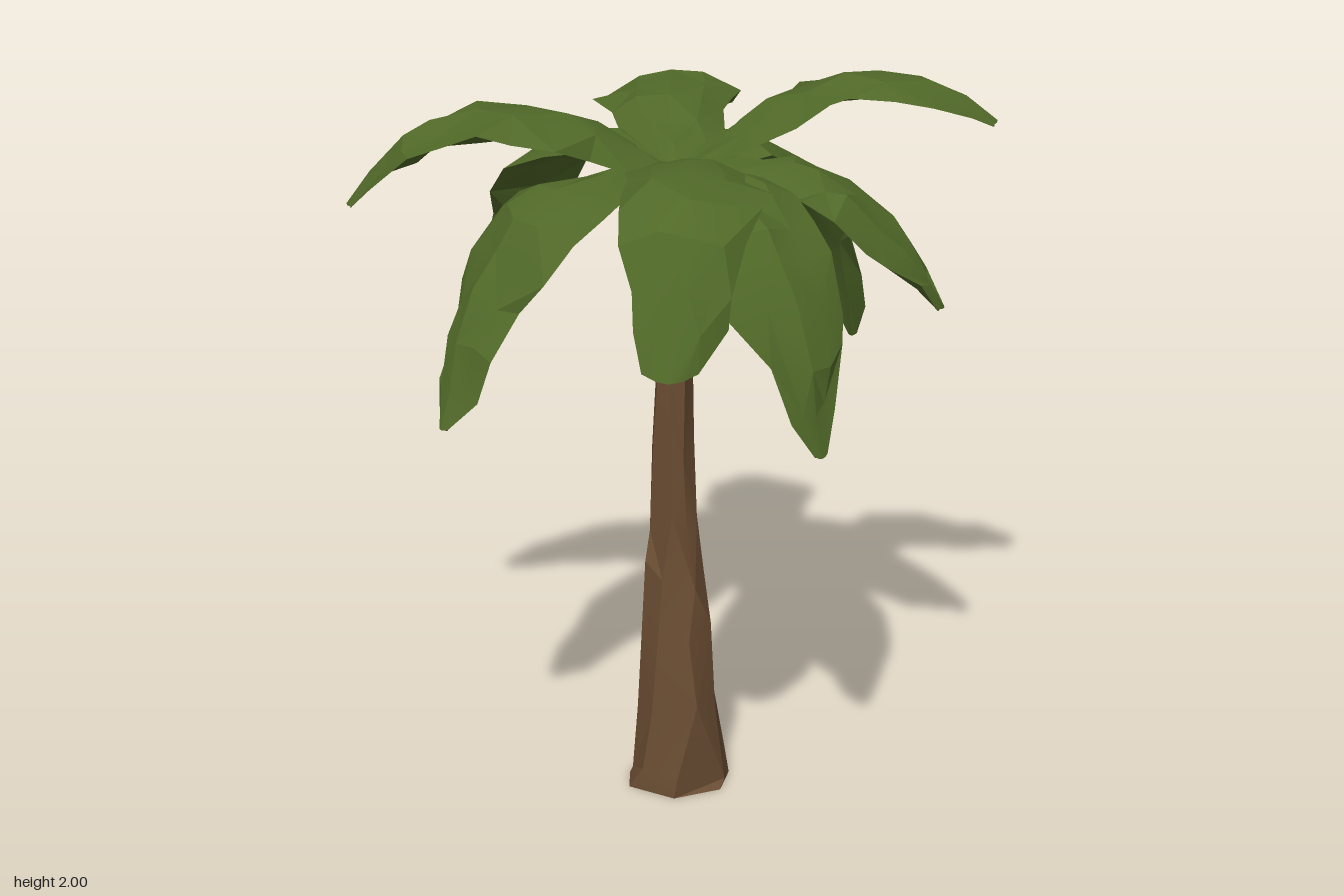
import * as THREE from 'three';
import { toCreasedNormals } from 'three/addons/utils/BufferGeometryUtils.js';

// Small seeded jitter in -1..1
let seed = 7;
const jitter = () => {
  seed = (seed * 16807) % 2147483647;
  return (seed / 2147483647) * 2 - 1;
};

// Skin a list of equal-length closed rings and cap both ends
function loft(rings) {
  const n = rings[0].length;
  const pos = [];
  const tri = (a, b, c) => pos.push(...a.toArray(), ...b.toArray(), ...c.toArray());
  const middle = (ring) => ring.reduce((s, p) => s.add(p), new THREE.Vector3()).divideScalar(n);
  for (let r = 0; r < rings.length - 1; r++) {
    for (let i = 0; i < n; i++) {
      const j = (i + 1) % n;
      const [a, b, c, d] = [rings[r][i], rings[r][j], rings[r + 1][j], rings[r + 1][i]];
      if ((r + i) % 2) { tri(a, b, c); tri(a, c, d); } else { tri(a, b, d); tri(b, c, d); }
    }
  }
  const first = rings[0], last = rings[rings.length - 1];
  for (let i = 0; i < n; i++) {
    const j = (i + 1) % n;
    tri(middle(first), first[j], first[i]);
    tri(middle(last), last[i], last[j]);
  }
  const geo = new THREE.BufferGeometry();
  geo.setAttribute('position', new THREE.Float32BufferAttribute(pos, 3));
  return toCreasedNormals(geo, 0.32);
}

// Trunk: uneven seven-sided rings [y, centre x, centre z, radius x, radius z]
function trunkGeometry() {
  const rows = [
    [0, 0.04, 0.008, 0.142, 0.135], [0.05, 0.036, 0.003, 0.135, 0.124],
    [0.25, 0.034, 0, 0.12, 0.108], [0.45, 0.025, 0, 0.105, 0.098],
    [0.63, 0.01, -0.008, 0.088, 0.08], [0.78, 0, -0.012, 0.073, 0.064],
    [0.98, -0.01, -0.015, 0.053, 0.058], [1.2, -0.01, -0.02, 0.044, 0.048],
    [1.4, -0.003, -0.025, 0.037, 0.04], [1.58, 0.005, -0.02, 0.034, 0.036],
    [1.72, 0.015, -0.01, 0.03, 0.03],
  ];
  const sides = 7;
  return loft(rows.map(([y, x, z, rx, rz], r) => Array.from({ length: sides }, (_, i) => {
    const a = ((i + 0.22 * jitter()) / sides) * Math.PI * 2 + 0.12 * r;
    const k = 1.02 + 0.1 * jitter();
    const lift = r === 0 ? 0 : 0.04 * jitter();
    return new THREE.Vector3(x + Math.sin(a) * rx * k, y + lift, z + Math.cos(a) * rz * k);
  })));
}

// Frond: thick leaf with a raised midrib and ragged edges, swept along a drooping path
const HALF_WIDTH = [0.04, 0.09, 0.135, 0.165, 0.175, 0.165, 0.15, 0.12, 0.08, 0.02];
const ACROSS = [-1, -0.5, 0, 0.5, 1, 0.5, 0, -0.5];
function frondGeometry(points, tip, scale) {
  const root = new THREE.Vector3(0.015, 1.75, -0.005);
  const path = new THREE.CatmullRomCurve3([root, ...points.map((p) => new THREE.Vector3(...p))]);
  const end = points[points.length - 1];
  const side = new THREE.Vector3(end[0], 0, end[2]).normalize().cross(new THREE.Vector3(0, 1, 0));
  const count = HALF_WIDTH.length;
  return loft(HALF_WIDTH.map((w, r) => {
    const t = r / (count - 1);
    const centre = path.getPointAt(t);
    const tangent = path.getTangentAt(t);
    const normal = new THREE.Vector3().crossVectors(side, tangent).normalize();
    const isTip = r === count - 1;
    const half = Math.max(w, r > 5 ? tip * (isTip ? 0.6 : 1) : 0) * scale;
    const thick = 0.015 + 0.04 * Math.sin(Math.PI * t);
    const inner = r > 0 && !isTip;
    return ACROSS.map((u, i) => {
      const ragged = Math.abs(u) === 1 ? 1 + 0.16 * jitter() : 1;
      const drop = 0.3 * half * u * u + (i > 4 ? thick * (1 - 0.4 * Math.abs(u)) : 0);
      const rough = inner ? 0.016 * jitter() : 0;
      const slide = inner ? 0.025 * jitter() : -0.4 * half * u * u * t;
      return centre.clone()
        .addScaledVector(side, u * half * ragged)
        .addScaledVector(tangent, slide)
        .addScaledVector(normal, rough - drop);
    });
  }));
}

// Path points after the crown, then tip half-width and overall width scale
const FRONDS = [
  ['frontFrond', [[-0.01, 1.78, 0.2], [-0.04, 1.71, 0.43], [-0.05, 1.5, 0.59], [-0.04, 1.19, 0.7]], 0.02, 1],
  ['backFrond', [[-0.02, 1.81, -0.2], [-0.03, 1.73, -0.41], [-0.03, 1.5, -0.58], [-0.03, 1.15, -0.68]], 0.02, 0.97],
  ['leftFrond', [[0.24, 1.81, 0.05], [0.45, 1.75, 0.08], [0.61, 1.53, 0.08], [0.69, 1.19, 0.07]], 0.02, 0.97],
  ['rightFrond', [[-0.23, 1.81, 0.05], [-0.45, 1.74, 0.06], [-0.61, 1.52, 0.06], [-0.69, 1.19, 0.06]], 0.02, 0.97],
  ['frontLeftFrond', [[0.22, 1.85, 0.13], [0.42, 1.86, 0.27], [0.57, 1.71, 0.39], [0.62, 1.46, 0.49]], 0.1, 1.03],
  ['frontRightFrond', [[-0.16, 1.88, 0.19], [-0.31, 1.91, 0.36], [-0.45, 1.82, 0.51], [-0.55, 1.65, 0.64]], 0.07, 1],
  ['backRightFrond', [[-0.2, 1.86, -0.15], [-0.37, 1.89, -0.29], [-0.53, 1.79, -0.41], [-0.62, 1.57, -0.49]], 0.08, 1.05],
  ['lowerBackLeftFrond', [[0.2, 1.79, -0.15], [0.35, 1.75, -0.28], [0.46, 1.61, -0.38], [0.53, 1.42, -0.48]], 0.07, 0.95],
  ['upperBackLeftFrond', [[0.1, 1.88, -0.15], [0.22, 1.99, -0.34], [0.36, 1.98, -0.52], [0.48, 1.87, -0.69]], 0.09, 0.87],
];

export function createModel() {
  seed = 7;
  const model = new THREE.Group();
  model.name = 'palmTree';
  const bark = new THREE.MeshStandardMaterial({ color: 0x694c32 });
  const leaf = new THREE.MeshStandardMaterial({ color: 0x506828, side: THREE.DoubleSide });
  const add = (name, geometry, material) => {
    const mesh = new THREE.Mesh(geometry, material);
    mesh.name = name;
    model.add(mesh);
  };
  add('trunk', trunkGeometry(), bark);
  for (const [name, points, tip, scale] of FRONDS) add(name, frondGeometry(points, tip, scale), leaf);
  return model;
}
